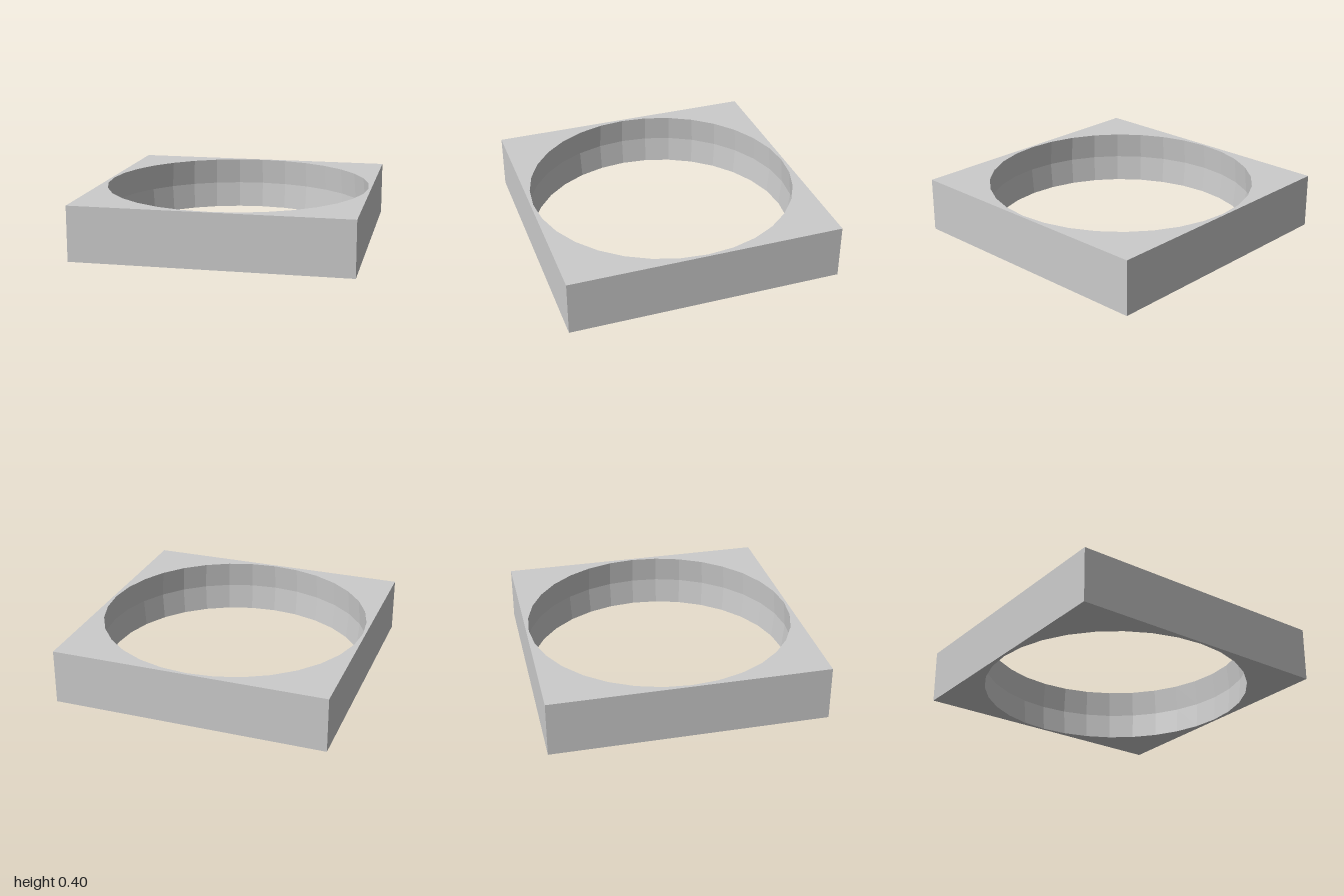
import * as THREE from 'three';

const HEIGHT = 0.4;
const RIM = 0.98;    // hole radius at the top and bottom faces
const WAIST = 0.999; // hole radius at mid height
const SIDES = 32;

export function createModel() {
  // Square block with a 32-sided hole
  const square = new THREE.Shape([[-1, -1], [1, -1], [1, 1], [-1, 1]].map(p => new THREE.Vector2(...p)));
  const rim = [];
  for (let i = 0; i < SIDES; i++) {
    const a = -i / SIDES * Math.PI * 2;
    rim.push(new THREE.Vector2(Math.cos(a) * RIM, Math.sin(a) * RIM));
  }
  square.holes.push(new THREE.Path(rim));

  const geometry = new THREE.ExtrudeGeometry(square, { depth: HEIGHT, steps: 2, bevelEnabled: false });

  // Widen the hole at mid height, so its wall bulges like a slice of a sphere
  const pos = geometry.attributes.position;
  for (let i = 0; i < pos.count; i++) {
    const x = pos.getX(i), y = pos.getY(i), r = Math.hypot(x, y);
    if (r < 1 && Math.abs(pos.getZ(i) - HEIGHT / 2) < 0.01) {
      pos.setXY(i, x / r * WAIST, y / r * WAIST);
    }
  }
  geometry.rotateX(-Math.PI / 2);
  geometry.computeVertexNormals();

  const block = new THREE.Mesh(geometry, new THREE.MeshStandardMaterial({ color: 0xcccccc, flatShading: true }));
  block.name = 'blockWithRoundHole';

  const model = new THREE.Group();
  model.name = 'squareRing';
  model.add(block);
  return model;
}
